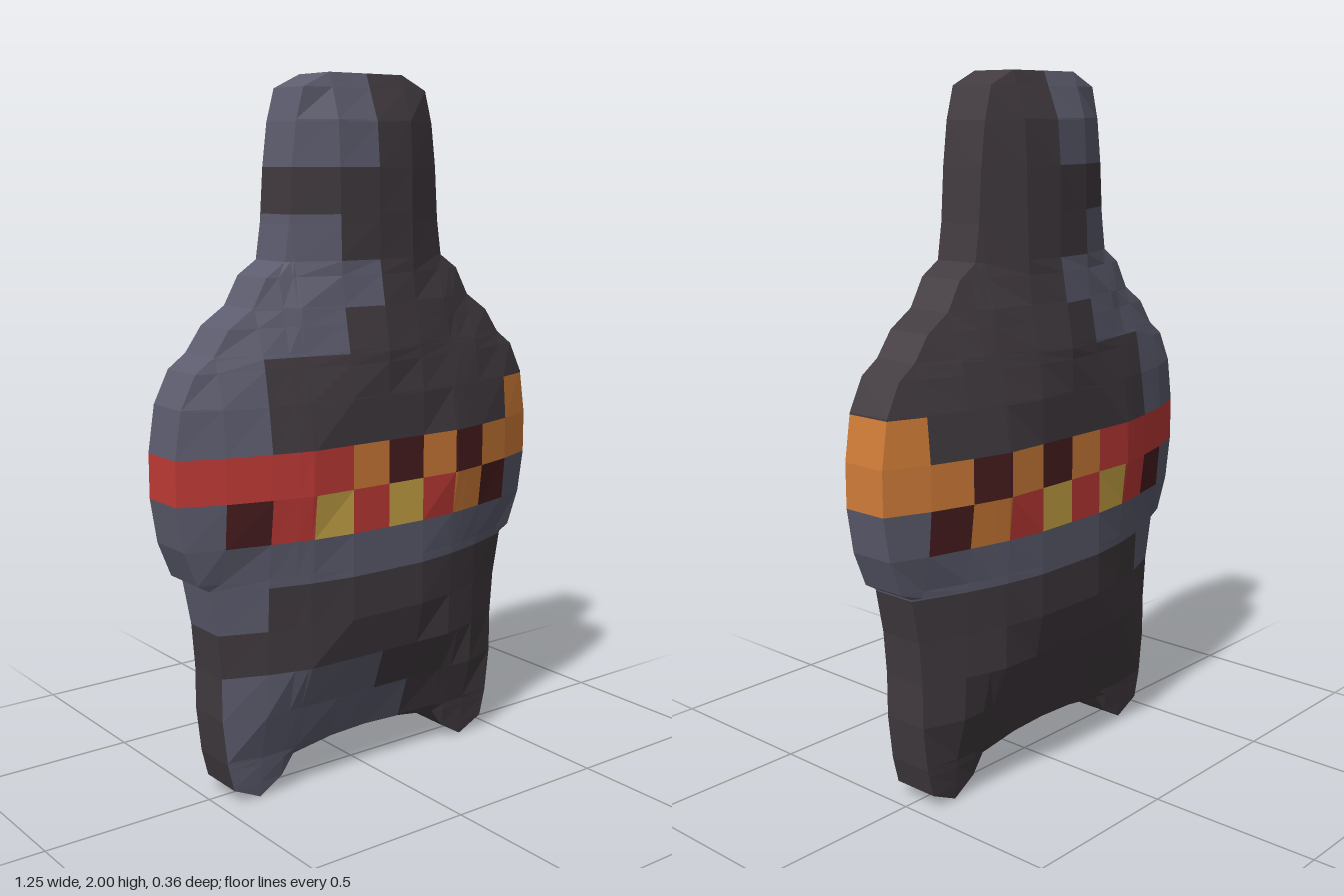
import * as THREE from 'three';

const mat = (name, color) => {
  const m = new THREE.MeshStandardMaterial({ color });
  m.name = name;
  return m;
};

const CELL = 0.125, RIM = 0.07;

// Half outline, from the crown down the side to the foot
const SIDE = [
  [0.125, 2], [0.21, 1.96], [0.235, 1.87], [0.25, 1.75], [0.26, 1.6], [0.275, 1.5],
  [0.335, 1.46], [0.38, 1.38], [0.455, 1.33], [0.505, 1.26], [0.56, 1.22], [0.605, 1.13],
  [0.625, 1], [0.625, 0.875], [0.605, 0.75], [0.565, 0.65], [0.53, 0.63], [0.505, 0.5],
  [0.495, 0.375], [0.495, 0.25], [0.48, 0.12], [0.46, 0.04], [0.375, 0],
];
// Arch between the feet, from the foot to the middle
const ARCH = [[0.375, 0], [0.3, 0.045], [0.26, 0.1], [0.125, 0.12], [0, 0.125]];
const OUTLINE = [[0, 2], ...SIDE, ...ARCH.slice(1)];

// Colour cells, top row first: s slate, c charcoal, r red, o orange, y yellow, d maroon
const FRONT = [
  'sssssccccc', 'sssssccccc', 'cccccccccc', 'sssscccccc',
  'sssssccccc', 'sssscccccc', 'sscccccccc', 'ssccccccco',
  'rrrrododoo', 'sdryryrods', 'ssssssssss', 'sscccccccc',
  'cccccccccc', 'sssssccccc', 'sssssscccc', 'sssssscccc',
];
const BACK = FRONT.map((row, i) => (i > 12 ? 'cccccccccc' : row));

// Linear interpolation through [key, value] pairs with rising keys
function lerpTable(table, k) {
  if (k <= table[0][0]) return table[0][1];
  for (let i = 1; i < table.length; i++) {
    const [k0, v0] = table[i - 1], [k1, v1] = table[i];
    if (k <= k1) return v0 + ((v1 - v0) * (k - k0)) / (k1 - k0);
  }
  return table[table.length - 1][1];
}

const WIDTH = SIDE.map(([x, y]) => [y, x]).reverse();
const BOTTOM = [...ARCH].reverse();
const BULGE = [[0, RIM], [0.125, 0.12], [0.25, 0.155], [0.36, 0.18]];
const THICKNESS = [[0, RIM], [0.12, 0.08], [0.25, 0.112], [0.375, 0.155], [0.5, 0.18],
  [1.25, 0.18], [1.5, 0.135], [1.875, 0.13], [2, RIM]];

function edgeDistance(x, y) {
  let best = Infinity;
  for (let i = 1; i < OUTLINE.length; i++) {
    const [ax, ay] = OUTLINE[i - 1], [bx, by] = OUTLINE[i];
    const dx = bx - ax, dy = by - ay;
    const t = THREE.MathUtils.clamp(((x - ax) * dx + (y - ay) * dy) / (dx * dx + dy * dy), 0, 1);
    best = Math.min(best, Math.hypot(x - ax - t * dx, y - ay - t * dy));
  }
  return best;
}

// Point on the front (side 1) or back (side -1), kept inside the outline
function surfacePoint(x, y, side) {
  const w = lerpTable(WIDTH, y);
  const px = THREE.MathUtils.clamp(x, -w, w);
  const py = Math.max(y, lerpTable(BOTTOM, Math.abs(px)));
  const d = edgeDistance(Math.abs(px), py);
  const z = Math.max(RIM, Math.min(lerpTable(BULGE, d), lerpTable(THICKNESS, py)));
  return new THREE.Vector3(px, py, d < 1e-4 ? side * RIM : side * z);
}

function colourAt(map, x, y) {
  const row = THREE.MathUtils.clamp(Math.floor((2 - y) / CELL), 0, 15);
  const col = THREE.MathUtils.clamp(Math.floor((x + 0.625) / CELL), 0, 9);
  return map[row][col];
}

// Collects flat quads by colour and turns them into one mesh
class Patchwork {
  constructor() { this.buckets = {}; }
  quad(key, a, b, c, d, flip = false) {
    const list = (this.buckets[key] ??= []);
    for (const t of [[a, b, c], [a, c, d]]) {
      if (new THREE.Triangle(...t).getArea() < 1e-7) continue;
      if (flip) t.reverse();
      t.forEach((p) => list.push(p.x, p.y, p.z));
    }
  }
  mesh(name, palette) {
    const geo = new THREE.BufferGeometry(), pos = [], mats = [];
    for (const [key, list] of Object.entries(this.buckets)) {
      geo.addGroup(pos.length / 3, list.length / 3, mats.length);
      mats.push(palette[key]);
      for (const v of list) pos.push(v);
    }
    geo.setAttribute('position', new THREE.Float32BufferAttribute(pos, 3));
    geo.computeVertexNormals();
    const mesh = new THREE.Mesh(geo, mats);
    mesh.name = name;
    return mesh;
  }
}

export function createModel() {
  const palette = {
    s: mat('slate', 0x5c5c6e), c: mat('charcoal', 0x413a3f), r: mat('red', 0xc03a36),
    o: mat('orange', 0xd07c38), y: mat('yellow', 0xc8a445), d: mat('maroon', 0x4a1e20),
  };
  const group = new THREE.Group();
  group.name = 'figure';

  // Grid lines: colour cells plus the outline's own corners
  const sorted = (a) => [...new Set(a)].sort((p, q) => p - q);
  const ys = sorted([...Array.from({ length: 17 }, (_, i) => i * CELL), ...OUTLINE.map((p) => p[1])]);
  const xs = sorted([...Array.from({ length: 11 }, (_, i) => (i - 5) * CELL), -0.3, -0.26, 0.26, 0.3]);

  // Bulging front and back
  for (const [name, side, map] of [['frontBody', 1, FRONT], ['backBody', -1, BACK]]) {
    const patch = new Patchwork();
    for (let j = 1; j < ys.length; j++) {
      for (let i = 1; i < xs.length; i++) {
        const [x0, x1, y0, y1] = [xs[i - 1], xs[i], ys[j - 1], ys[j]];
        patch.quad(colourAt(map, (x0 + x1) / 2, (y0 + y1) / 2),
          surfacePoint(x0, y0, side), surfacePoint(x1, y0, side),
          surfacePoint(x1, y1, side), surfacePoint(x0, y1, side), side < 0);
      }
    }
    group.add(patch.mesh(name, palette));
  }

  // Flat rim: crown, sides and the arch between the feet, mirrored
  const rim = new Patchwork();
  const path = [[0, 2], ...[...ys].reverse().map((y) => [lerpTable(WIDTH, y), y]), ...ARCH.slice(1)];
  for (const s of [1, -1]) {
    for (let i = 1; i < path.length; i++) {
      const [ax, ay] = path[i - 1], [bx, by] = path[i];
      const p = (x, y, z) => new THREE.Vector3(s * x, y, z);
      const edgeX = i <= ys.length && ay < 1.5 ? s * 0.6 : (s * (ax + bx)) / 2;
      rim.quad(colourAt(BACK, edgeX, (ay + by) / 2),
        p(ax, ay, RIM), p(bx, by, RIM), p(bx, by, -RIM), p(ax, ay, -RIM), s < 0);
    }
  }
  group.add(rim.mesh('rim', palette));
  return group;
}
